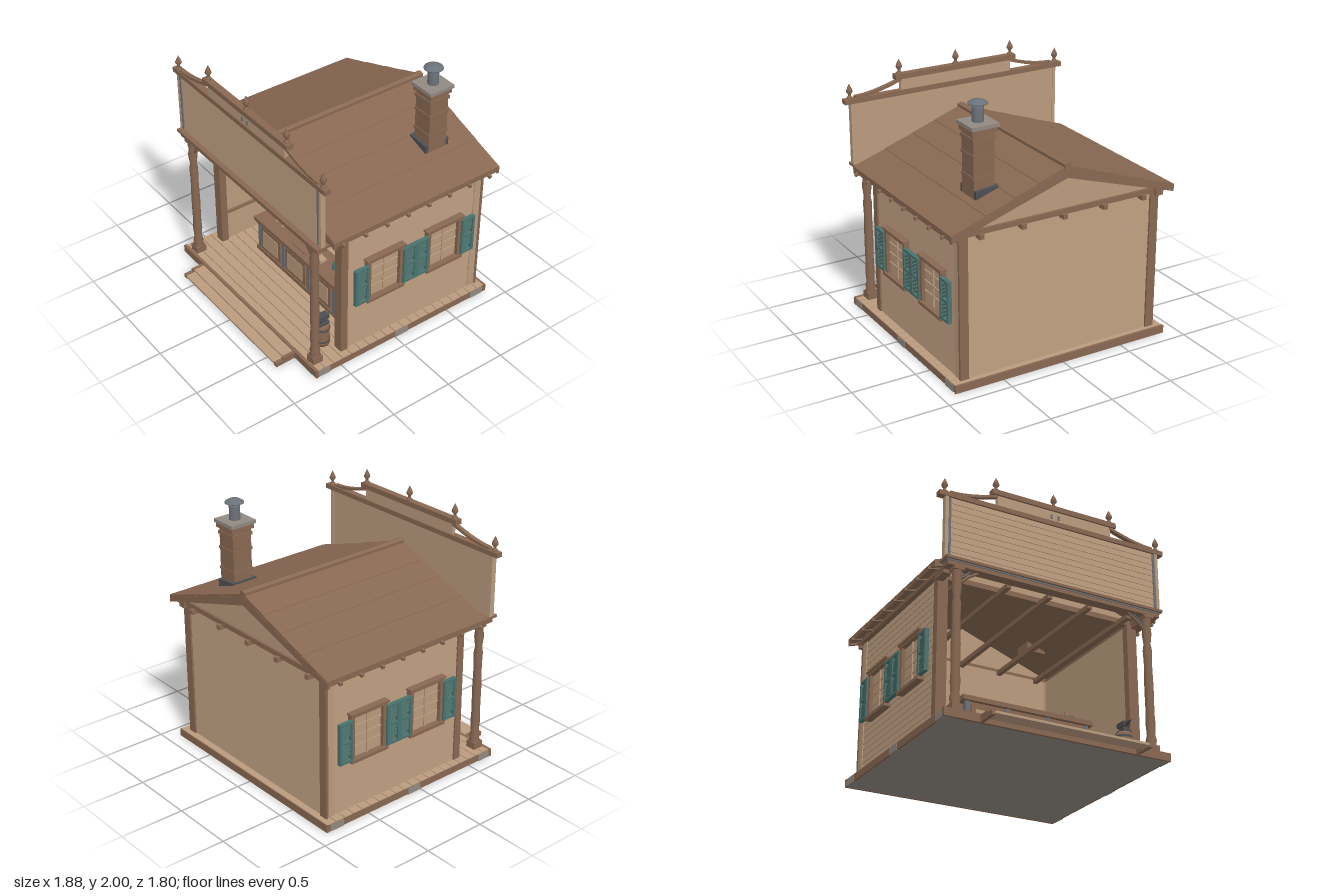
import * as THREE from 'three';

const mat = (name, color) => Object.assign(new THREE.MeshStandardMaterial({ color }), { name });

export function createModel() {
  const root = new THREE.Group();
  root.name = 'workshopHut';
  const tan = mat('tanBoards', 0xba9b7e), brown = mat('brownTimber', 0x886852), stone = mat('stone', 0x918a81);
  const teal = mat('tealPaint', 0x4c736e), iron = mat('iron', 0x4d4e51), steel = mat('steel', 0x6c727a);

  const add = (name, geo, m, parent = root) => {
    const mesh = new THREE.Mesh(geo, m);
    mesh.name = name;
    parent.add(mesh);
    return mesh;
  };
  // box given by its min and max on each axis
  const box = (name, m, x0, x1, y0, y1, z0, z1, parent = root) => {
    const mesh = add(name, new THREE.BoxGeometry(x1 - x0, y1 - y0, z1 - z0), m, parent);
    mesh.position.set((x0 + x1) / 2, (y0 + y1) / 2, (z0 + z1) / 2);
    return mesh;
  };
  const lathe = (name, m, pts, x, y, z, seg = 16) => {
    const mesh = add(name, new THREE.LatheGeometry(pts.map(p => new THREE.Vector2(p[0], p[1])), seg), m);
    mesh.position.set(x, y, z);
    return mesh;
  };
  const rod = (name, m, a, b, r, r2 = r) => {
    const p = new THREE.Vector3(...a), q = new THREE.Vector3(...b), d = q.clone().sub(p);
    const mesh = add(name, new THREE.CylinderGeometry(r2, r, d.length(), 8), m);
    mesh.position.copy(p).add(q).multiplyScalar(0.5);
    mesh.quaternion.setFromUnitVectors(new THREE.Vector3(0, 1, 0), d.normalize());
    return mesh;
  };
  const prism = (pts, depth) => new THREE.ExtrudeGeometry(
    new THREE.Shape(pts.map(p => new THREE.Vector2(p[0], p[1]))), { depth, bevelEnabled: false });
  // overlapping boards: x is outward, y up, length along z
  const clapboard = (height, length, n, thick) => {
    const pts = [[-thick, 0]], h = height / n;
    for (let i = 0; i < n; i++) pts.push([0, i * h], [-0.005, (i + 1) * h]);
    pts.push([-thick, height]);
    return prism(pts, length);
  };

  // Stone foundation, floor boards and edge stones
  box('foundation', stone, -0.87, 0.87, 0, 0.04, -0.865, 0.71);
  for (let i = 0; i < 20; i++) {
    const z = -0.885 + i * 0.0807;
    box('floorBoard', tan, -0.885, 0.885, 0.045, 0.06, z + 0.003, z + 0.0777);
  }
  for (const s of [-1, 1]) {
    box('sideRim', brown, s * 0.875 - 0.012, s * 0.875 + 0.012, 0.002, 0.056, -0.885, 0.72);
    for (const z of [0.66, -0.06, -0.795])
      box('edgeStone', stone, s * 0.86 - 0.031, s * 0.86 + 0.031, 0, 0.054, z - 0.06, z + 0.06);
  }
  box('frontRim', brown, -0.893, 0.893, 0, 0.061, 0.705, 0.73);
  box('backRim', brown, -0.89, 0.89, 0, 0.06, -0.89, -0.87);

  // Front steps
  box('upperStep', tan, -0.6, 0.6, 0.035, 0.05, 0.73, 0.82);
  box('lowerStep', tan, -0.6, 0.6, 0.012, 0.03, 0.81, 0.895);
  for (const s of [-1, 1]) {
    box('stepSide', brown, s * 0.612 - 0.012, s * 0.612 + 0.012, 0, 0.053, 0.73, 0.83);
    box('stepSideEnd', brown, s * 0.612 - 0.015, s * 0.612 + 0.015, 0, 0.033, 0.83, 0.895);
  }

  // Clapboard walls
  const left = add('leftWall', clapboard(1.09, 1.25, 22, 0.05), tan);
  left.position.set(0.815, 0.06, -0.82);
  const right = add('rightWall', clapboard(1.09, 1.25, 22, 0.05), tan);
  right.rotation.y = Math.PI;
  right.position.set(-0.815, 0.06, 0.43);
  const back = add('backWall', clapboard(1.09, 1.6, 22, 0.05), tan);
  back.rotation.y = Math.PI / 2;
  back.position.set(-0.8, 0.06, -0.83);

  // Corner posts, wall plates, inner rails and ceiling joists
  for (const s of [-1, 1]) {
    box('frontCornerPost', brown, s * 0.785 - 0.04, s * 0.785 + 0.04, 0.06, 1.16, 0.4, 0.458);
    box('backCornerPost', brown, s * 0.79 - 0.035, s * 0.79 + 0.035, 0.06, 1.15, -0.842, -0.822);
    box('cornerBoard', tan, s * 0.79 - 0.03, s * 0.79 + 0.03, 0.06, 1.15, -0.823, -0.762);
    box('wallPlate', brown, s * 0.815 - 0.035, s * 0.815 + 0.035, 1.15, 1.185, -0.87, 0.59);
    box('plateEnd', brown, s * 0.815 - 0.03, s * 0.815 + 0.03, 1.122, 1.15, 0.45, 0.585);
    box('plateEnd', brown, s * 0.815 - 0.03, s * 0.815 + 0.03, 1.122, 1.15, -0.868, -0.835);
    box('wallRail', brown, s * 0.755 - 0.012, s * 0.755 + 0.012, 0.32, 0.34, -0.78, 0.4);
  }
  box('backRail', brown, -0.77, 0.77, 0.32, 0.34, -0.785, -0.765);
  box('backPlate', brown, -0.84, 0.84, 1.145, 1.185, -0.855, -0.8);
  box('frontPlate', brown, -0.84, 0.84, 1.145, 1.185, 0.4, 0.455);
  for (let i = -2; i <= 2; i++)
    box('ceilingJoist', brown, i * 0.335 - 0.018, i * 0.335 + 0.018, 1.12, 1.155, -0.885, 0.6);

  // Gables
  for (const z of [-0.835, 0.41])
    add('gable', prism([[-0.84, 1.17], [0.84, 1.17], [0, 1.475]], 0.03), tan).position.z = z;

  // Stepped roof slopes with bargeboards and rafter tails
  const slope = x => 1.525 - 0.355 * x;
  for (const s of [-1, 1]) {
    const pts = [[0, slope(0) - 0.045], [0, slope(0)]];
    for (const x of [0.23, 0.42, 0.65]) pts.push([x, slope(x) + 0.001], [x, slope(x) - 0.003]);
    pts.push([0.915, slope(0.915) + 0.002], [0.915, 1.16]);
    const p = s > 0 ? pts.reverse() : pts.map(q => [-q[0], q[1]]);
    add('roofSlope', prism(p, 1.49), brown).position.z = -0.9;
    for (const z of [-0.902, 0.57]) {
      const b = [[0, 1.435], [s * 0.915, 1.145], [s * 0.915, 1.19], [0, 1.5]];
      add('bargeboard', prism(b, 0.022), brown).position.z = z;
    }
    for (let i = 0; i < 8; i++) {
      const tail = box('rafterTail', brown, s * 0.885 - 0.055, s * 0.885 + 0.055, 1.16, 1.182,
        -0.81 + i * 0.188, -0.788 + i * 0.188);
      tail.rotation.z = -s * 0.2;
    }
  }
  add('ridgeCap', prism([[-0.028, 1.5], [0.028, 1.5], [0.028, 1.537], [0, 1.548], [-0.028, 1.537]], 1.494), brown)
    .position.z = -0.902;

  // Chimney with flashing, bands, cap and stove pipe
  const cx = 0.517, cz = -0.57;
  const slab = (name, m, half, y0, y1) => box(name, m, cx - half, cx + half, y0, y1, cz - half, cz + half);
  const f0 = cx - 0.1, f1 = cx + 0.079;
  add('flashing', prism([[f0, slope(f0) - 0.03], [f1, slope(f1) - 0.03], [f1, slope(f1) + 0.06], [f0, slope(f0) + 0.012]], 0.214), iron)
    .position.z = cz - 0.107;
  slab('chimneyShaft', brown, 0.081, 1.25, 1.82);
  for (const y of [1.45, 1.61]) slab('chimneyBand', brown, 0.087, y, y + 0.02);
  slab('chimneyCollar', brown, 0.089, 1.725, 1.75);
  slab('chimneyCollar', brown, 0.097, 1.775, 1.815);
  slab('chimneyCap', stone, 0.108, 1.813, 1.84);
  lathe('stovePipe', steel, [[0.041, 0], [0.041, 0.105], [0.034, 0.11], [0.02, 0.112], [0.02, 0.135]], cx, 1.838, cz);
  lathe('pipeHood', steel, [[0, 0], [0.072, 0], [0.07, 0.006], [0.045, 0.022], [0.02, 0.03], [0, 0.032]], cx, 1.968, cz);

  // Windows with shutters, built facing +x
  const shutter = (g, z) => {
    for (const s of [-1, 1]) box('shutterStile', teal, 0.018, 0.05, 0.47, 0.79, z + s * 0.05 - 0.01, z + s * 0.05 + 0.01, g);
    for (const y of [0.47, 0.62, 0.77]) box('shutterRail', teal, 0.018, 0.049, y, y + 0.02, z - 0.05, z + 0.05, g);
    for (let i = 0; i < 8; i++) {
      const y = 0.513 + (i % 4) * 0.029 + (i > 3 ? 0.15 : 0);
      box('shutterSlat', teal, 0.02, 0.042, y - 0.006, y + 0.006, z - 0.05, z + 0.05, g).rotation.x = 0.55;
    }
  };
  const makeWindow = (side, z) => {
    const g = new THREE.Group();
    g.name = 'window';
    box('windowPane', tan, -0.01, 0.006, 0.47, 0.8, -0.14, 0.14, g);
    for (const s of [-1, 1]) box('windowJamb', brown, -0.01, 0.035, 0.46, 0.81, s * 0.148 - 0.017, s * 0.148 + 0.017, g);
    box('windowHead', brown, -0.01, 0.04, 0.8, 0.822, -0.165, 0.165, g);
    box('windowHeadCap', brown, -0.01, 0.05, 0.82, 0.835, -0.175, 0.175, g);
    box('windowSill', brown, -0.01, 0.05, 0.445, 0.47, -0.17, 0.17, g);
    box('mullion', tan, 0, 0.016, 0.47, 0.8, -0.006, 0.006, g);
    for (const y of [0.555, 0.635, 0.715]) box('glazingBar', tan, 0, 0.014, y - 0.005, y + 0.005, -0.13, 0.13, g);
    for (const s of [-1, 1]) shutter(g, s * 0.217);
    g.position.set(side * 0.815, 0, z);
    if (side < 0) g.rotation.y = Math.PI;
    root.add(g);
  };
  for (const s of [-1, 1]) for (const z of [0.08, -0.47]) makeWindow(s, z);

  // Turned porch posts with braces and straps
  const postProfile = [[0.042, 0], [0.042, 0.06], [0.033, 0.07], [0.04, 0.1], [0.03, 0.14], [0.036, 0.22], [0.032, 0.3], [0.034, 0.5],
    [0.03, 0.7], [0.034, 0.8], [0.026, 0.85], [0.036, 0.93], [0.03, 1.0], [0.036, 1.03], [0.036, 1.09]];
  for (const s of [-1, 1]) {
    lathe('porchPost', brown, postProfile, s * 0.78, 0.06, 0.66);
    box('postBase', brown, s * 0.78 - 0.042, s * 0.78 + 0.042, 0.06, 0.115, 0.618, 0.702);
    box('postHead', brown, s * 0.78 - 0.04, s * 0.78 + 0.04, 1.11, 1.16, 0.62, 0.7);
    const curve = new THREE.QuadraticBezierCurve3(new THREE.Vector3(s * 0.75, 1.03, 0.66),
      new THREE.Vector3(s * 0.7, 1.085, 0.66), new THREE.Vector3(s * 0.62, 1.13, 0.66));
    add('postBrace', new THREE.TubeGeometry(curve, 10, 0.011, 6), brown);
    rod('braceStrap', steel, [s * 0.745, 1.065, 0.66], [s * 0.675, 1.13, 0.66], 0.006);
  }

  // False front: beam, boarded face, cornices, swoops and finials
  box('frontBeam', brown, -0.87, 0.87, 1.13, 1.163, 0.62, 0.7);
  box('beamStrip', steel, -0.875, 0.875, 1.16, 1.173, 0.625, 0.705);
  box('beamLedge', brown, -0.89, 0.89, 1.17, 1.19, 0.612, 0.72);
  const face = add('falseFront', clapboard(0.48, 1.74, 10, 0.03), tan);
  face.rotation.y = -Math.PI / 2;
  face.position.set(0.87, 1.19, 0.68);
  for (const s of [-1, 1]) {
    box('frontEdgeBoard', tan, s * 0.877 - 0.013, s * 0.877 + 0.013, 1.19, 1.67, 0.645, 0.686);
    box('frontEdgeStrip', steel, s * 0.853 - 0.009, s * 0.853 + 0.009, 1.2, 1.665, 0.66, 0.685);
  }
  box('cornice', brown, -0.938, 0.938, 1.668, 1.705, 0.637, 0.69);
  box('crestPanel', tan, -0.475, 0.475, 1.7, 1.795, 0.65, 0.68);
  box('crestCap', brown, -0.52, 0.52, 1.79, 1.83, 0.64, 0.695);
  for (const s of [-1, 1]) {
    box('crestBracket', steel, s * 0.03 - 0.008, s * 0.03 + 0.008, 1.725, 1.757, 0.68, 0.687);
    const top = [], low = [];
    for (let i = 0; i <= 10; i++) {
      const t = i / 10, x = s * (0.47 + 0.38 * t), y = 1.79 - 0.077 * Math.sin(t * Math.PI / 2);
      top.push([x, y + 0.008]);
      low.push([x, y - 0.014]);
    }
    add('swoopRail', prism([...top, ...low.reverse()], 0.035), brown).position.z = 0.648;
  }
  const finial = [[0.022, 0], [0.022, 0.012], [0.011, 0.022], [0.011, 0.035], [0.025, 0.055], [0.02, 0.075], [0, 0.117]];
  for (const [x, y] of [[-0.89, 1.703], [0.89, 1.703], [-0.48, 1.828], [0, 1.828], [0.48, 1.828]])
    lathe('finial', brown, finial, x, y, 0.665, 10);

  // Shop counter with panelled front
  box('counterBody', brown, -0.49, 0.49, 0.06, 0.35, 0.1, 0.265);
  box('counterTop', brown, -0.53, 0.53, 0.35, 0.385, 0.075, 0.295);
  box('counterBase', brown, -0.525, 0.505, 0.06, 0.095, 0.095, 0.278);
  for (const x of [-0.485, -0.165, 0.165, 0.485]) box('counterStile', steel, x - 0.015, x + 0.015, 0.095, 0.35, 0.25, 0.275);
  for (const x of [-0.325, 0, 0.325]) {
    box('panelFrame', brown, x - 0.13, x + 0.13, 0.11, 0.325, 0.26, 0.28);
    box('panelInset', tan, x - 0.1, x + 0.1, 0.14, 0.295, 0.278, 0.284);
  }

  // Things on the counter
  for (const x of [-0.36, -0.28])
    lathe('smallFlask', tan, [[0, 0], [0.012, 0.002], [0.015, 0.018], [0.005, 0.035], [0.004, 0.052], [0, 0.054]], x, 0.385, 0.19, 10);
  box('counterMat', brown, -0.08, 0.1, 0.385, 0.393, 0.13, 0.25);
  box('smallBox', tan, 0.09, 0.17, 0.385, 0.412, 0.14, 0.2);
  box('smallBox', tan, 0.19, 0.25, 0.385, 0.408, 0.16, 0.22);
  rod('greenJar', teal, [0.355, 0.385, 0.17], [0.355, 0.44, 0.17], 0.018);
  for (const d of [-0.01, 0.01]) rod('jarStick', brown, [0.355, 0.43, 0.17], [0.355 + d, 0.465, 0.17 + d], 0.003);
  rod('metalMug', steel, [0.418, 0.385, 0.18], [0.418, 0.445, 0.18], 0.019);

  // Back bench with shelf and crates
  box('benchTop', brown, -0.52, 0.5, 0.345, 0.37, -0.78, -0.6);
  box('benchShelf', brown, -0.51, 0.49, 0.19, 0.21, -0.78, -0.61);
  for (const x of [-0.505, 0, 0.485]) box('benchLeg', brown, x - 0.015, x + 0.015, 0.06, 0.345, -0.78, -0.605);
  for (const x of [-0.38, 0.2, 0.36]) box('crate', tan, x - 0.06, x + 0.06, 0.21, 0.27, -0.74, -0.64);

  // Tools leaning on the side wall
  for (let i = 0; i < 5; i++) {
    const z = -0.1 - i * 0.11;
    rod('toolHandle', brown, [-0.63, 0.06, z], [-0.71, 0.39, z - 0.02], 0.011);
    rod('toolTip', iron, [-0.7, 0.34, z - 0.015], [-0.73, 0.475, z - 0.02], 0.014, 0.007);
    box('toolFoot', tan, -0.71, -0.63, 0.06, 0.12, z - 0.02, z + 0.02);
  }

  // Anvil on a stump, and a low stool beside it
  lathe('stump', brown, [[0, 0], [0.058, 0], [0.06, 0.02], [0.054, 0.1], [0.058, 0.16], [0.05, 0.185], [0, 0.185]], 0.655, 0.06, 0.505);
  for (const y of [0.09, 0.2])
    lathe('stumpHoop', iron, [[0.061, 0], [0.062, 0.016], [0.055, 0.016]], 0.655, y, 0.505);
  box('anvilFoot', iron, 0.62, 0.69, 0.245, 0.262, 0.46, 0.55);
  box('anvilWaist', iron, 0.635, 0.675, 0.262, 0.295, 0.48, 0.53);
  box('anvilTop', iron, 0.628, 0.682, 0.29, 0.325, 0.455, 0.545);
  rod('anvilHorn', iron, [0.655, 0.308, 0.54], [0.655, 0.316, 0.605], 0.02, 0.002);
  box('stoolSeat', tan, 0.54, 0.64, 0.19, 0.205, 0.2, 0.3);
  for (const x of [0.555, 0.625]) for (const z of [0.215, 0.285])
    rod('stoolLeg', brown, [x, 0.06, z], [x, 0.19, z], 0.009);

  return root;
}
